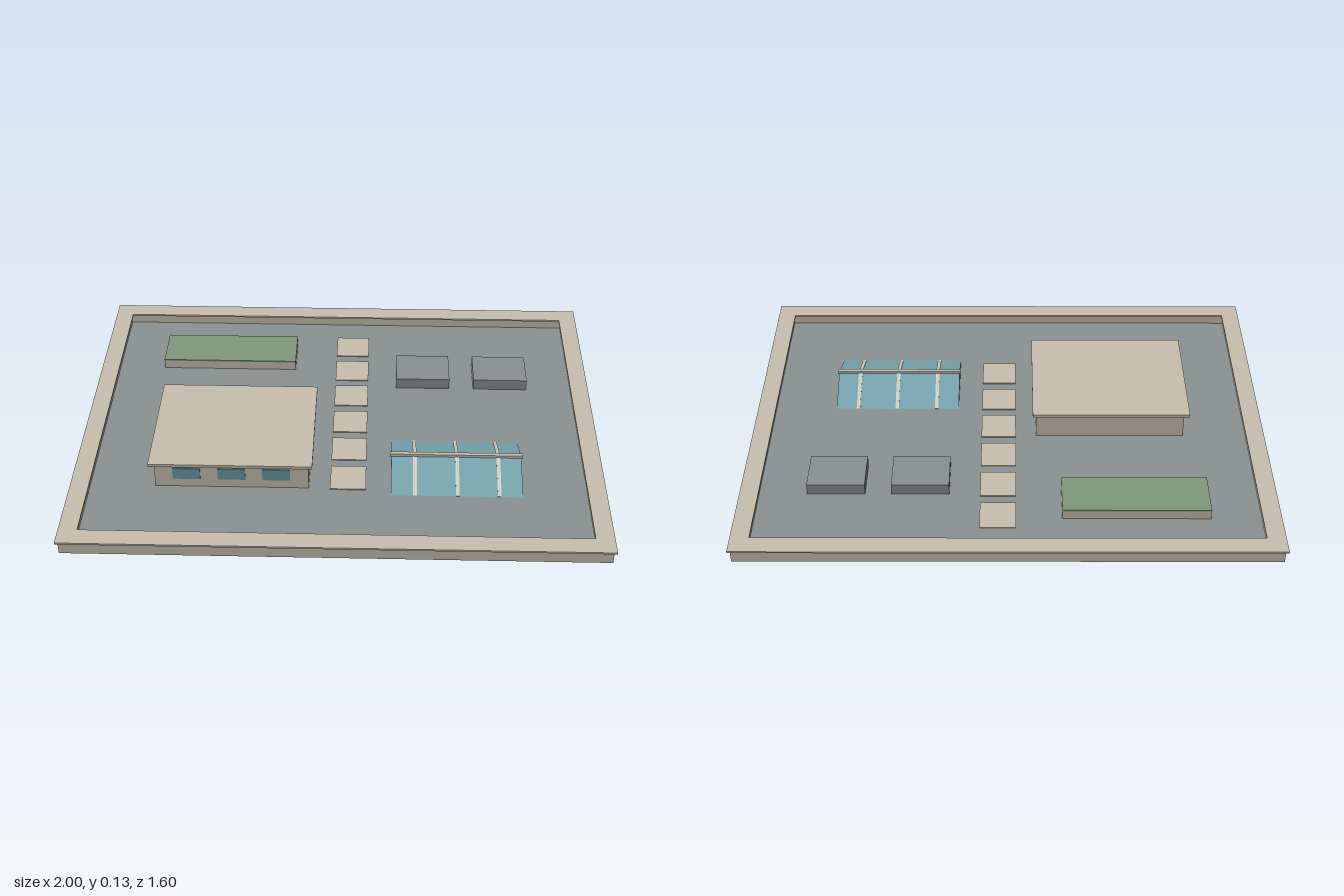
import * as THREE from 'three';

export function createModel() {
  const root = new THREE.Group();
  root.name = 'rooftopGarden';

  const mat = (name, color) => {
    const m = new THREE.MeshStandardMaterial({ color });
    m.name = name;
    return m;
  };
  const beige = mat('warm concrete', 0xc8c0b0);
  const floorGrey = mat('roof grey', 0x8c9392);
  const unitGrey = mat('equipment grey', 0x8a8f91);
  const green = mat('planting green', 0x7f997b);
  const glass = mat('greenhouse glass', 0x79a8b3);
  const pane = mat('window blue', 0x6a9aa8);
  const pale = mat('glazing bar', 0xd6d2c4);

  // Box given by its limits on each axis
  const box = (name, m, x0, x1, y0, y1, z0, z1, parent = root) => {
    const mesh = new THREE.Mesh(new THREE.BoxGeometry(x1 - x0, y1 - y0, z1 - z0), m);
    mesh.position.set((x0 + x1) / 2, (y0 + y1) / 2, (z0 + z1) / 2);
    mesh.name = name;
    parent.add(mesh);
    return mesh;
  };
  const group = (name) => {
    const g = new THREE.Group();
    g.name = name;
    root.add(g);
    return g;
  };

  // Rectangular ring lying flat, used for the parapet and its coping
  const ring = (name, ox, oz, ix, iz, y0, y1) => {
    const rect = (T, x, z) => {
      const s = new T();
      s.moveTo(-x, -z).lineTo(x, -z).lineTo(x, z).lineTo(-x, z).closePath();
      return s;
    };
    const shape = rect(THREE.Shape, ox, oz);
    shape.holes.push(rect(THREE.Path, ix, iz));
    const geo = new THREE.ExtrudeGeometry(shape, { depth: y1 - y0, bevelEnabled: false });
    geo.rotateX(-Math.PI / 2).translate(0, y0, 0);
    const mesh = new THREE.Mesh(geo, beige);
    mesh.name = name;
    root.add(mesh);
  };

  // Roof deck and surrounding wall
  const F = 0.013;
  box('roofDeck', floorGrey, -0.989, 0.989, 0, F, -0.789, 0.789);
  ring('parapet', 0.99, 0.79, 0.937, 0.732, 0.001, 0.051);
  ring('coping', 1, 0.8, 0.93, 0.725, 0.05, 0.057);

  // Pavilion with overhanging flat roof and three front windows
  const pavilion = group('pavilion');
  box('pavilionWalls', beige, -0.69, -0.11, F, 0.118, -0.07, 0.41, pavilion);
  box('pavilionRoof', beige, -0.71, -0.096, 0.117, 0.129, -0.09, 0.43, pavilion);
  for (const x of [-0.57, -0.4, -0.232])
    box('pavilionWindow', pane, x - 0.052, x + 0.052, 0.05, 0.098, 0.408, 0.414, pavilion);

  // Planting bed
  const bed = group('plantingBed');
  box('bedBase', beige, -0.75, -0.2, F, 0.048, -0.57, -0.38, bed);
  box('bedPlanting', green, -0.75, -0.2, 0.048, 0.054, -0.57, -0.38, bed);

  // Stepping stones
  for (let i = 0; i < 6; i++) {
    const z = -0.553 + i * 0.18;
    box('steppingStone', beige, -0.03, 0.105, F, F + 0.004, z - 0.07, z + 0.07);
  }

  // Equipment boxes
  for (const x of [0.33, 0.647])
    box('equipmentBox', unitGrey, x - 0.109, x + 0.109, F, 0.058, -0.43, -0.257);

  // Greenhouse: solid gabled prism, grey ends and glass slopes
  const house = group('greenhouse');
  const W = 0.495, H = 0.062, D = 0.17, X = 0.2, Z = 0.275;
  const tri = new THREE.Shape();
  tri.moveTo(-D, 0).lineTo(D, 0).lineTo(0, H).closePath();
  const body = new THREE.ExtrudeGeometry(tri, { depth: W, bevelEnabled: false });
  body.rotateY(Math.PI / 2);
  const tent = new THREE.Mesh(body, [unitGrey, glass]);
  tent.name = 'greenhouseGlazing';
  tent.position.set(X, F, Z);
  house.add(tent);

  // Glazing bars follow both slopes
  const slope = Math.atan2(H, D), len = Math.hypot(H, D);
  for (const side of [1, -1])
    for (const x of [0.29, 0.45, 0.607]) {
      const bar = new THREE.Mesh(new THREE.BoxGeometry(0.014, 0.003, len), pale);
      bar.position.set(x, F + H / 2 + 0.0005, Z + side * D / 2);
      bar.rotation.x = side * slope;
      bar.name = 'glazingBar';
      house.add(bar);
    }
  box('ridgeCap', beige, 0.195, 0.7, 0.072, 0.083, Z - 0.008, Z + 0.008, house);

  return root;
}
